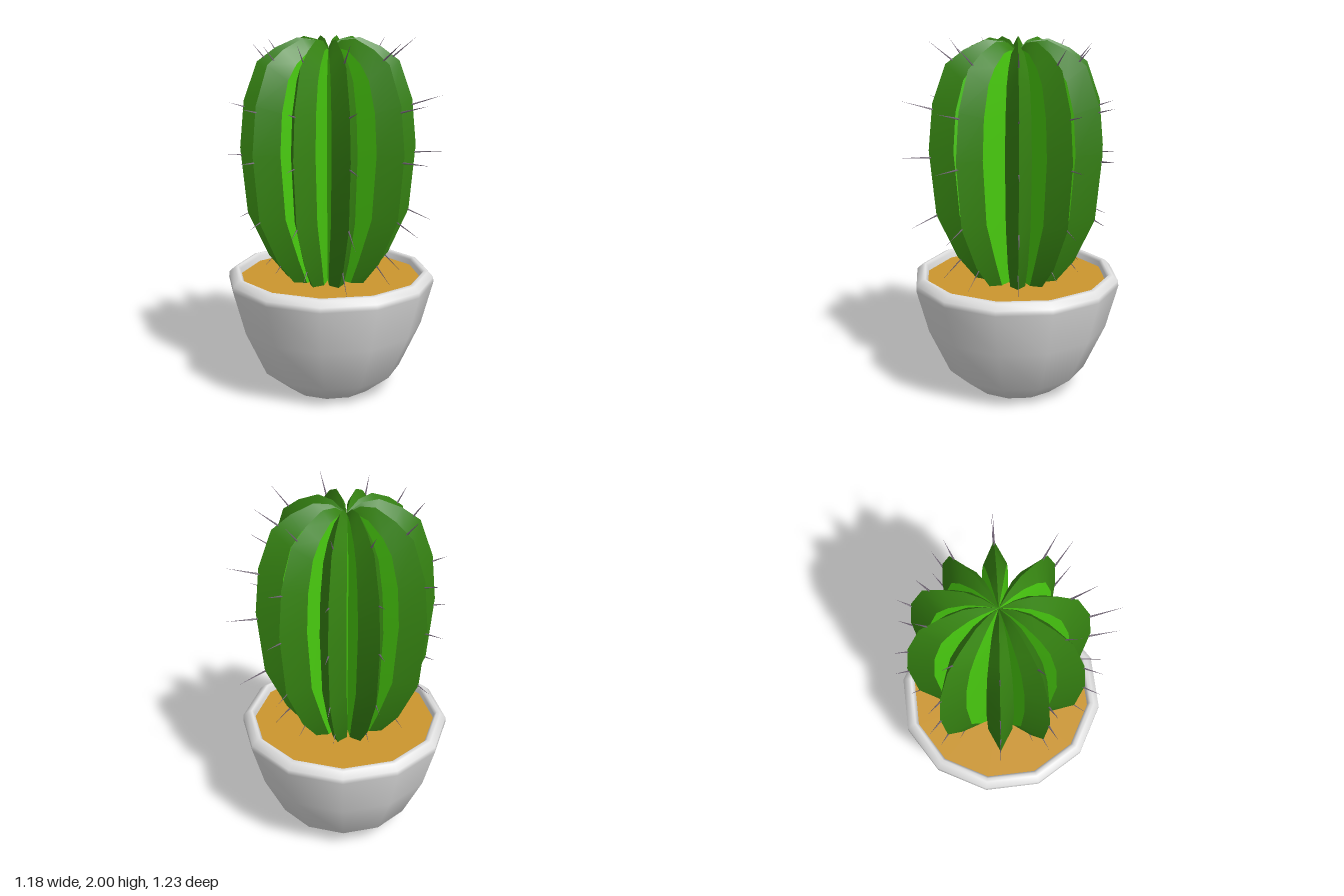
import * as THREE from 'three';

const potMat = new THREE.MeshStandardMaterial({ color: 0xe0e0e0 });
potMat.name = 'white pot';
const soilMat = new THREE.MeshStandardMaterial({ color: 0xcc962e });
soilMat.name = 'sandy soil';
const sideMat = new THREE.MeshStandardMaterial({ color: 0x49cc10, side: THREE.DoubleSide });
sideMat.name = 'bright green';
const crestMat = new THREE.MeshStandardMaterial({ color: 0x368412, side: THREE.DoubleSide });
crestMat.name = 'dark green';
const spineMat = new THREE.MeshStandardMaterial({ color: 0x75687a });
spineMat.name = 'grey spine';

const POT_Z = -0.03, CACTUS_Z = -0.04;

// Rib rows, bottom to top: crest radius, crest y, shoulder radius, shoulder y,
// shoulder half width, valley radius, valley y
const ROWS = [
  [0.22, 0.63, 0.17, 0.63, 0.04, 0.09, 0.63],
  [0.34, 0.78, 0.24, 0.79, 0.055, 0.1, 0.79],
  [0.455, 1.03, 0.33, 1.04, 0.066, 0.12, 1.04],
  [0.49, 1.4, 0.36, 1.4, 0.07, 0.13, 1.4],
  [0.465, 1.66, 0.345, 1.62, 0.067, 0.13, 1.6],
  [0.39, 1.87, 0.3, 1.79, 0.06, 0.12, 1.75],
  [0.29, 1.945, 0.24, 1.87, 0.05, 0.1, 1.82],
  [0.17, 1.998, 0.15, 1.935, 0.035, 0.08, 1.87],
  [0.08, 1.985, 0.08, 1.945, 0.02, 0.05, 1.9],
  [0, 1.93, 0, 1.93, 0, 0, 1.93],
];

// Rib directions in degrees (counterclockwise from +x), with 1.36-high spine tip radius
const RIBS = [
  [90, 0.58], [51, 0.565], [20, 0.572], [-13.5, 0.586], [-48.5, 0.66], [-90, 0.65],
  [-131.5, 0.66], [-166.5, 0.586], [-200, 0.572], [-231, 0.565],
];

// Spine levels: base radius, base y, rise per outward unit, reach factor
const SPINES = [
  [0.28, 0.81, -1.1, 0.75],
  [0.41, 1.05, -0.5, 0.95],
  [0.46, 1.36, 0, 1],
  [0.44, 1.62, 0.28, 1],
  [0.34, 1.88, 1.2, 0.7],
];

const rad = THREE.MathUtils.degToRad;

// Point at radius r, sideways offset t and height y for direction a
function polar(a, r, t, y) {
  return new THREE.Vector3(
    Math.cos(a) * r - Math.sin(a) * t, y, -Math.sin(a) * r - Math.cos(a) * t);
}

// Surface between two vertical paths, smooth along its length
function strip(left, right, mat, name) {
  const pts = [], index = [];
  left.forEach((p, i) => {
    pts.push(p, right[i]);
    if (i) {
      const k = 2 * i;
      index.push(k - 2, k - 1, k + 1, k - 2, k + 1, k);
    }
  });
  const geo = new THREE.BufferGeometry().setFromPoints(pts);
  geo.setIndex(index);
  geo.computeVertexNormals();
  const mesh = new THREE.Mesh(geo, mat);
  mesh.name = name;
  return mesh;
}

// One blade-like rib: two side walls and a two-sided crest
function makeRib(a, before, after) {
  const rib = new THREE.Group();
  rib.name = 'rib';
  const crest = ROWS.map((r) => polar(a, r[0], 0, r[1]));
  const shoulder = (s) => ROWS.map((r) => polar(a, r[2], s * r[4], r[3]));
  const valley = (b) => ROWS.map((r) => polar(b, r[5], 0, r[6]));
  const right = shoulder(1), left = shoulder(-1);
  rib.add(
    strip(valley(before), left, sideMat, 'ribSide'),
    strip(left, crest, crestMat, 'ribCrest'),
    strip(crest, right, crestMat, 'ribCrest'),
    strip(right, valley(after), sideMat, 'ribSide'));
  return rib;
}

// Thin cone from base to tip
function makeSpine(base, tip) {
  const dir = tip.clone().sub(base);
  const len = dir.length();
  const mesh = new THREE.Mesh(new THREE.ConeGeometry(0.006, len, 4), spineMat);
  mesh.position.copy(base).addScaledVector(dir, 0.5);
  mesh.quaternion.setFromUnitVectors(new THREE.Vector3(0, 1, 0), dir.divideScalar(len));
  mesh.name = 'spine';
  return mesh;
}

export function createModel() {
  const model = new THREE.Group();
  model.name = 'pottedCactus';

  // Twelve-sided pot with rounded rim
  const profile = [
    [0, 0], [0.25, 0], [0.4, 0.12], [0.52, 0.38], [0.588, 0.63],
    [0.586, 0.66], [0.555, 0.69], [0.535, 0.695], [0.52, 0.68], [0.515, 0.62],
  ].map(([x, y]) => new THREE.Vector2(x, y));
  const pot = new THREE.Mesh(new THREE.LatheGeometry(profile, 12), potMat);
  pot.position.z = POT_Z;
  pot.name = 'pot';
  model.add(pot);

  // Soil disc inside the rim
  const soil = new THREE.Mesh(new THREE.CircleGeometry(0.522, 12), soilMat);
  soil.rotation.x = -Math.PI / 2;
  soil.position.set(0, 0.65, POT_Z);
  soil.name = 'soil';
  model.add(soil);

  // Cactus body and spines
  const cactus = new THREE.Group();
  cactus.name = 'cactus';
  cactus.position.z = CACTUS_Z;
  const n = RIBS.length;
  RIBS.forEach(([deg, reach], i) => {
    const next = i + 1 < n ? RIBS[i + 1][0] : RIBS[0][0] - 360;
    const prev = i > 0 ? RIBS[i - 1][0] : RIBS[n - 1][0] + 360;
    const a = rad(deg);
    cactus.add(makeRib(a, rad((deg + next) / 2), rad((deg + prev) / 2)));
    for (const [r, y, rise, factor] of SPINES) {
      const out = (reach - 0.46) * factor;
      const up = Math.min(out * rise, 1.995 - y);
      cactus.add(makeSpine(polar(a, r, 0, y), polar(a, r + out, 0, y + up)));
    }
  });
  model.add(cactus);
  return model;
}
